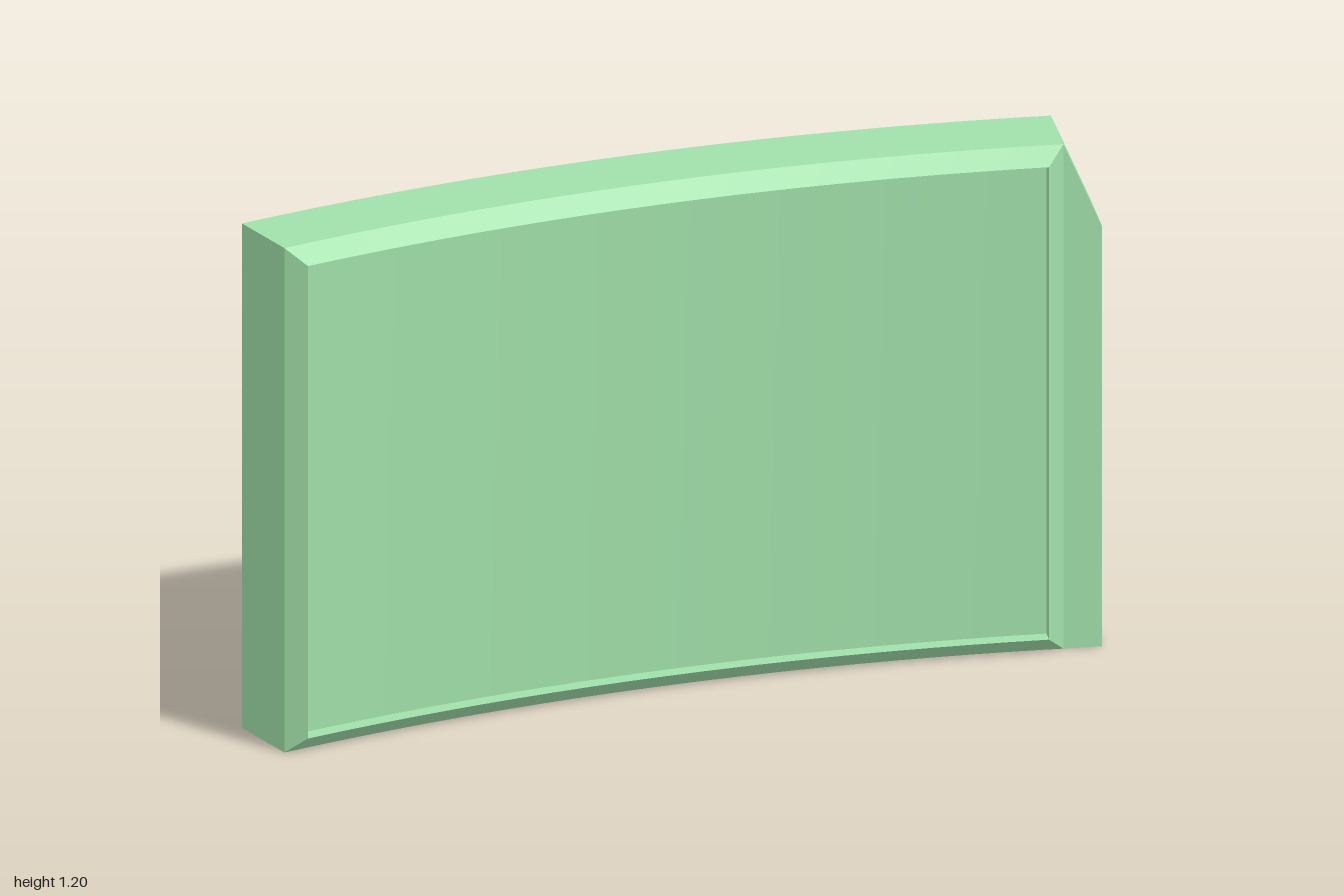
import * as THREE from 'three';
import { mergeGeometries } from 'three/addons/utils/BufferGeometryUtils.js';

// Arc measurements: radii, half angles and heights
const CX = -0.0425, CZ = 4.6695;
const OUTER = 4.82, INNER = 4.641, LIP = 4.603;
const BODY_A = 0.2, LIP_A = 0.1918;
const H = 1.2, END_H = 1.0, BEVEL = 0.038, SEGMENTS = 20;

// Direction along the arc at the right end
const TANGENT = new THREE.Vector3(Math.cos(BODY_A), 0, Math.sin(BODY_A));

// Point at radius r, angle a around the arc centre, height y
const at = (r, a, y) => new THREE.Vector3(CX + r * Math.sin(a), y, CZ - r * Math.cos(a));

// Flat four-cornered face, counter-clockwise from outside
function quad(a, b, c, d) {
  const g = new THREE.BufferGeometry().setFromPoints([a, b, c, d]);
  g.setIndex([0, 1, 2, 0, 2, 3]);
  g.computeVertexNormals();
  return g;
}

// Curved band between two arcs, smooth along its length
function band(p, q) {
  const points = [], index = [];
  for (let i = 0; i <= SEGMENTS; i++) {
    const t = (i / SEGMENTS) * 2 - 1;
    points.push(at(p.r, p.a * t, p.y), at(q.r, q.a * t, q.y));
    if (i < SEGMENTS) {
      const k = i * 2;
      index.push(k, k + 2, k + 3, k, k + 3, k + 1);
    }
  }
  const g = new THREE.BufferGeometry().setFromPoints(points);
  g.setIndex(index);
  g.computeVertexNormals();
  return g;
}

// Faces joining two rectangular loops
const ring = (outer, inner) => outer.map((p, i) => {
  const j = (i + 1) % 4;
  return quad(p, outer[j], inner[j], inner[i]);
});

export function createModel() {
  const group = new THREE.Group();
  const material = new THREE.MeshStandardMaterial({ color: 0xa1e0aa });
  const add = (name, parts) => {
    const mesh = new THREE.Mesh(mergeGeometries(parts), material);
    mesh.name = name;
    group.add(mesh);
  };

  // Curved panel: cross-section loop with a sharp raised rim around a sunken field
  const section = [
    { r: INNER, a: BODY_A, y: 0 },
    { r: LIP, a: LIP_A, y: BEVEL },
    { r: INNER, a: LIP_A, y: BEVEL },
    { r: INNER, a: LIP_A, y: H - BEVEL },
    { r: LIP, a: LIP_A, y: H - BEVEL },
    { r: INNER, a: BODY_A, y: H },
    { r: OUTER, a: BODY_A, y: H },
    { r: OUTER, a: BODY_A, y: 0 },
  ];
  const panel = section.map((p, i) => band(p, section[(i + 1) % section.length]));

  // Upright rim bevels and inner rim walls, left and right
  const edge = (r, a, y) => [at(r, a, y), at(r, a, H - y)];
  for (const s of [-1, 1]) {
    const lines = [
      edge(INNER, s * BODY_A, 0),
      edge(LIP, s * LIP_A, BEVEL),
      edge(INNER, s * LIP_A, BEVEL),
    ];
    if (s > 0) lines.reverse();
    for (let i = 0; i < 2; i++) {
      const [l, r] = [lines[i], lines[i + 1]];
      panel.push(quad(l[0], r[0], r[1], l[1]));
    }
  }
  // Plain left end
  panel.push(quad(at(OUTER, -BODY_A, 0), at(INNER, -BODY_A, 0), at(INNER, -BODY_A, H), at(OUTER, -BODY_A, H)));
  add('curvedPanel', panel);

  // Straight end block with a sloped top corner
  const [i0, i1, o0, o1] = [
    at(INNER, BODY_A, 0), at(INNER, BODY_A, H), at(OUTER, BODY_A, 0), at(OUTER, BODY_A, H),
  ];
  const endLoop = (r0, r1, y0, y1, offset) =>
    [[r0, y0], [r1, y0], [r1, y1], [r0, y1]].map(([r, y]) => at(r, BODY_A, y).addScaledVector(TANGENT, offset));
  const face = endLoop(INNER, OUTER, 0, END_H, 0.087);
  const [fi0, fo0, fo1, fi1] = face;
  const opening = endLoop(4.653, 4.803, 0.165, 0.36, 0.087);
  add('endBlock', [
    quad(i0, fi0, fi1, i1),
    quad(fo0, o0, o1, fo1),
    quad(i1, fi1, fo1, o1),
    quad(o0, fo0, fi0, i0),
    ...ring(face, opening),
  ]);

  // Tapered recess sunk into the end face
  const floor = endLoop(4.674, 4.781, 0.185, 0.34, 0.056);
  add('endRecess', [...ring(opening, floor), quad(...floor)]);

  return group;
}
